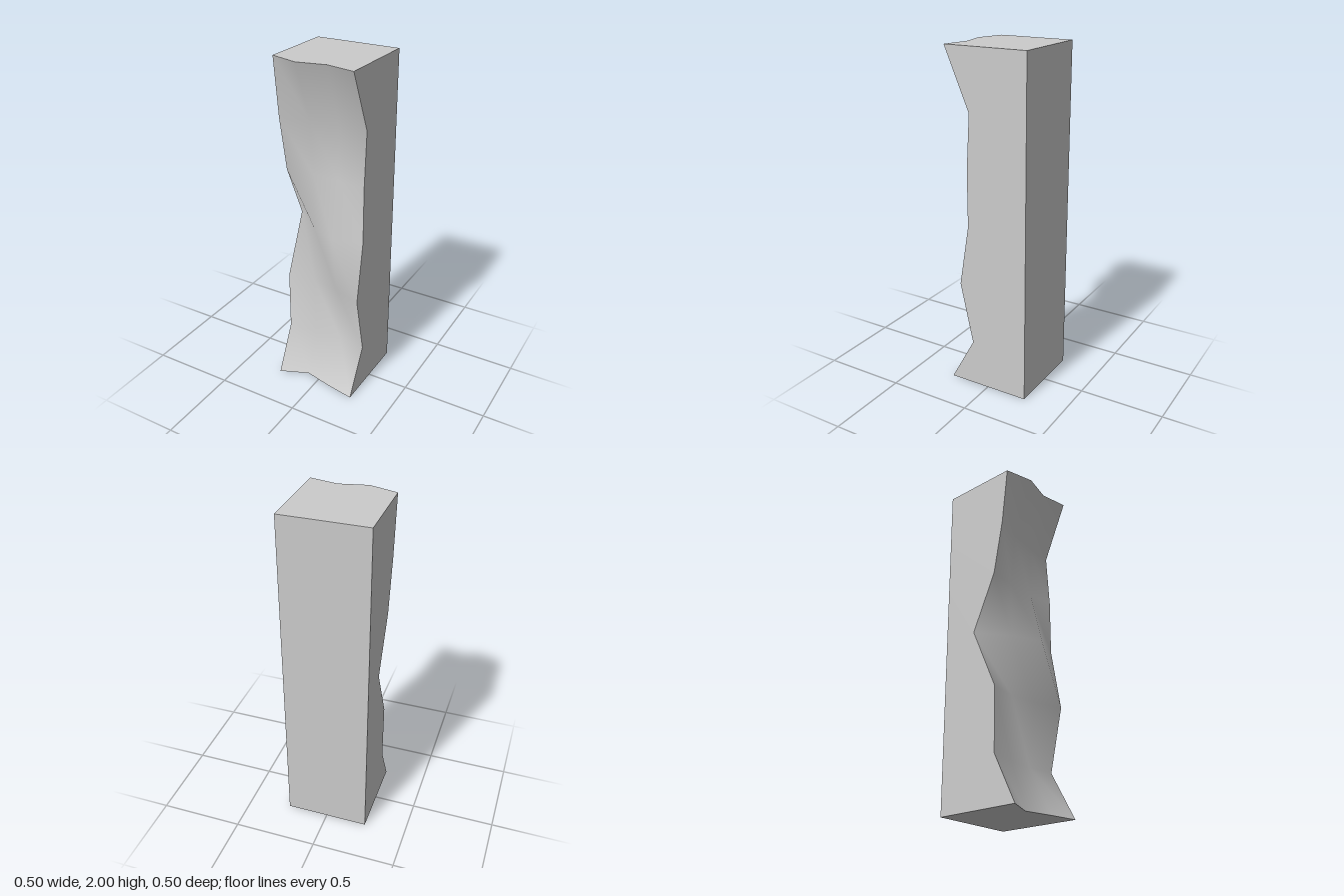
import * as THREE from 'three';

const HALF = 0.25;
const COLUMNS = [-HALF, -HALF / 3, HALF / 3, HALF];
const LEVELS = [0, 0.275, 0.64, 1, 1.33, 1.65, 2];

// Depth of the weathered face: one row per level, bottom to top
const DEPTHS = [
  [0.25, 0.18, 0.22, 0.25],
  [0.115, 0.09, 0.08, 0.10],
  [0.115, 0.093, 0.12, 0.18],
  [-0.044, 0.093, 0.18, 0.12],
  [0.103, 0.09, 0.10, 0.12],
  [0.162, 0.12, 0.10, 0.10],
  [0.20, 0.25, 0.215, 0.25],
];

const material = new THREE.MeshStandardMaterial({ color: 0xcccccc });

// Skins a grid of points: rows run upward and points run rightward as seen from outside
function surface(name, rows) {
  const n = rows[0].length;
  const index = [];
  for (let i = 0; i < rows.length - 1; i++) {
    for (let j = 0; j < n - 1; j++) {
      const a = i * n + j, b = a + 1, d = a + n, c = d + 1;
      index.push(a, b, d, b, c, d);
    }
  }
  const geometry = new THREE.BufferGeometry();
  geometry.setAttribute('position', new THREE.Float32BufferAttribute(rows.flat(2), 3));
  geometry.setIndex(index);
  geometry.computeVertexNormals();
  const mesh = new THREE.Mesh(geometry, material);
  mesh.name = name;
  return mesh;
}

export function createModel() {
  const group = new THREE.Group();
  group.name = 'stonePillar';

  const front = LEVELS.map((y, i) => COLUMNS.map((x, j) => [x, y, DEPTHS[i][j]]));
  const toBack = ([x, y]) => [x, y, -HALF];
  const bottomRow = front[0];
  const topRow = front[front.length - 1];

  group.add(
    // Smoothly shaded uneven face
    surface('roughFront', front),
    // Flat sides following the uneven front edge
    surface('leftSide', front.map((row) => [row[3], toBack(row[3])])),
    surface('rightSide', front.map((row) => [toBack(row[0]), row[0]])),
    surface('top', [topRow, topRow.map(toBack)]),
    surface('bottom', [bottomRow.map(toBack), bottomRow]),
    surface('back', [bottomRow, topRow].map((row) => [toBack(row[3]), toBack(row[0])])),
  );
  return group;
}
